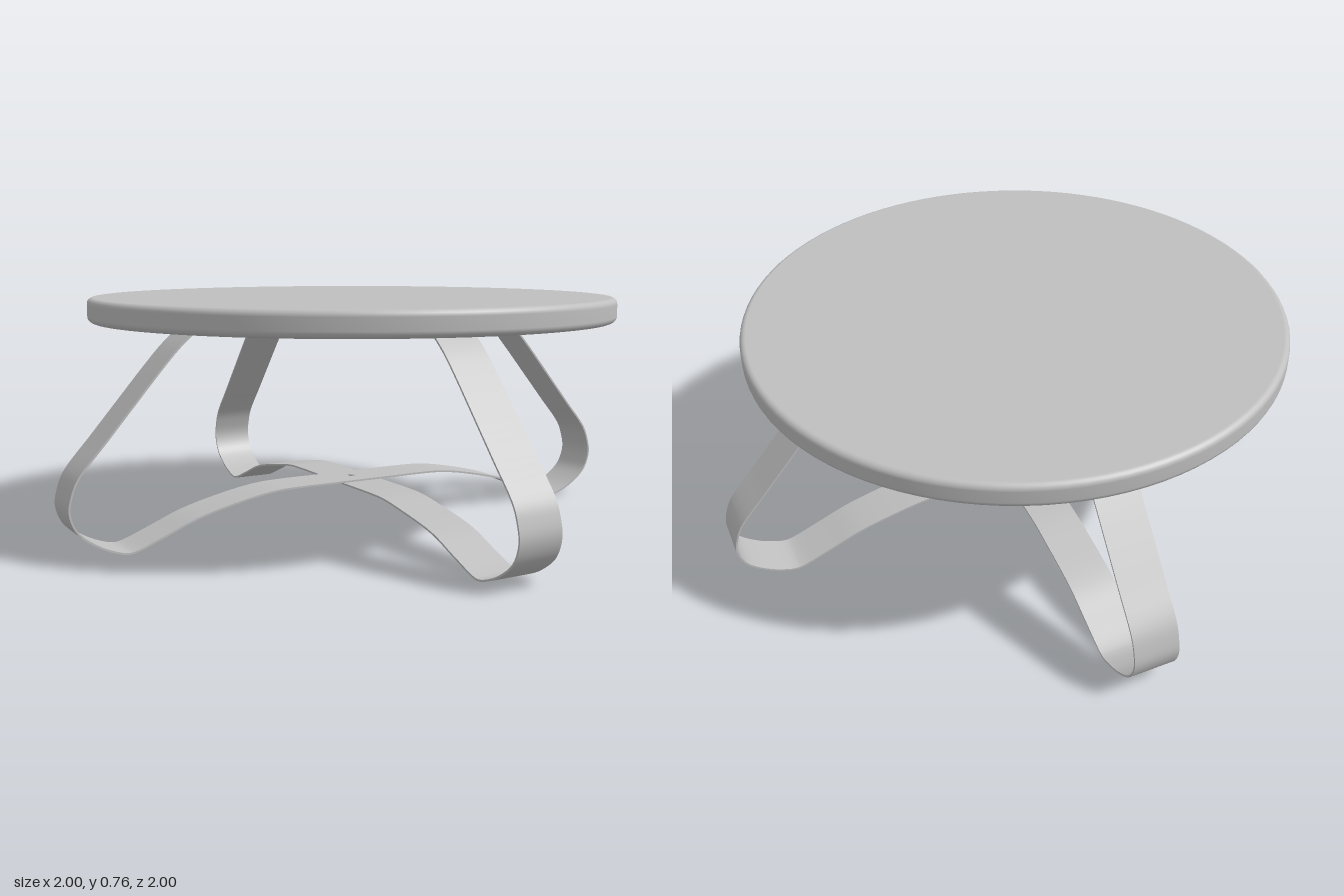
import * as THREE from 'three';
import { toCreasedNormals } from 'three/addons/utils/BufferGeometryUtils.js';

const T = 0.006; // strap thickness
const W = 0.145; // strap width

// Bent flat bar: runs from one top flange, round both feet, to the other flange
function strapGeometry(crossY, flangeIn) {
  const bend = [
    [0.575, 0.68], [0.64, 0.624], [0.695, 0.565], [0.79, 0.455], [0.88, 0.35], [0.965, 0.25],
    [0.985, 0.205], [0.995, 0.15], [0.973, 0.09], [0.915, 0.042], [0.86, 0.016], [0.82, 0.006],
    [0.795, 0.009], [0.7, 0.045], [0.59, 0.088], [0.42, crossY - 0.018], [0.32, crossY - 0.003],
    [0.24, crossY], [0.1, crossY],
  ].map(([x, y]) => new THREE.Vector3(x, y, 0));
  const half = new THREE.CatmullRomCurve3(bend).getPoints(80);
  half.unshift(new THREE.Vector3(flangeIn, 0.68, 0));
  const path = [...half, ...half.map((p) => new THREE.Vector3(-p.x, p.y, 0)).reverse()];

  // offset the centre line to both sides
  const side = (s) => path.map((p, i) => {
    const a = path[Math.max(i - 1, 0)], b = path[Math.min(i + 1, path.length - 1)];
    const d = b.clone().sub(a).normalize();
    return new THREE.Vector2(p.x - d.y * s, p.y + d.x * s);
  });
  const shape = new THREE.Shape([...side(T / 2), ...side(-T / 2).reverse()]);
  const geo = new THREE.ExtrudeGeometry(shape, { depth: W, bevelEnabled: false });
  geo.translate(0, 0, -W / 2);
  return toCreasedNormals(geo, 0.6);
}

export function createModel() {
  const model = new THREE.Group();
  const metal = new THREE.MeshStandardMaterial({ color: 0xbfbfbf });
  metal.name = 'grey';

  const add = (parent, name, geo, x = 0, y = 0, z = 0) => {
    const mesh = new THREE.Mesh(geo, metal);
    mesh.name = name;
    mesh.position.set(x, y, z);
    parent.add(mesh);
    return mesh;
  };

  // Round top with softened rims
  const R = 0.862, y0 = 0.684, y1 = 0.762, r = 0.02;
  const profile = [new THREE.Vector2(0, y0)];
  for (let i = 0; i <= 6; i++) {
    const a = -Math.PI / 2 + (i / 6) * Math.PI / 2;
    profile.push(new THREE.Vector2(R - r + r * Math.cos(a), y0 + r + r * Math.sin(a)));
  }
  for (let i = 0; i <= 6; i++) {
    const a = (i / 6) * Math.PI / 2;
    profile.push(new THREE.Vector2(R - r + r * Math.cos(a), y1 - r + r * Math.sin(a)));
  }
  profile.push(new THREE.Vector2(0, y1));
  add(model, 'tableTop', new THREE.LatheGeometry(profile, 96));

  // Two crossing leg straps, each with two screws in both flanges
  const screw = new THREE.CylinderGeometry(0.014, 0.01, 0.012, 16);
  [[0.147, 0.295, 0], [0.14, 0.305, Math.PI / 2]].forEach(([crossY, flangeIn, turn], i) => {
    const legs = new THREE.Group();
    legs.name = i ? 'frontBackLegs' : 'sideLegs';
    legs.rotation.y = turn;
    add(legs, 'legStrap', strapGeometry(crossY, flangeIn));
    for (const s of [-1, 1]) {
      for (const x of [0.38, 0.46]) add(legs, 'flangeScrew', screw, s * x, 0.672, 0);
    }
    model.add(legs);
  });

  // Bolt through the crossing, with square washer and nut below
  add(model, 'crossBolt', new THREE.CylinderGeometry(0.012, 0.012, 0.032, 20), 0, 0.138, 0);
  add(model, 'squareWasher', new THREE.BoxGeometry(0.065, 0.006, 0.065), 0, 0.134, 0);
  add(model, 'crossNut', new THREE.CylinderGeometry(0.022, 0.022, 0.012, 6), 0, 0.126, 0);

  // Stand on the ground
  const box = new THREE.Box3().setFromObject(model);
  model.children.forEach((c) => { c.position.y -= box.min.y; });
  return model;
}
